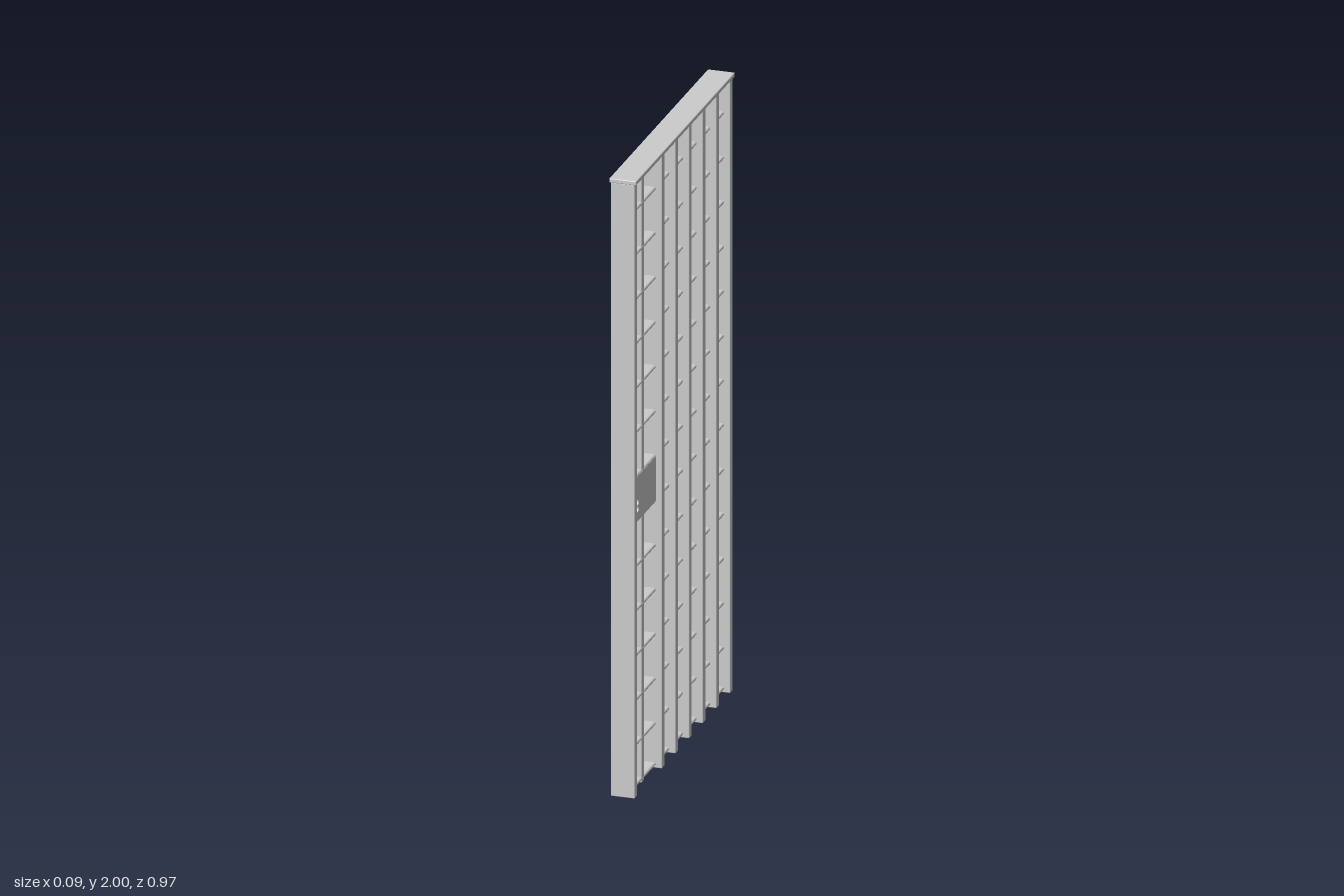
import * as THREE from 'three';
import { RoundedBoxGeometry } from 'three/addons/geometries/RoundedBoxGeometry.js';

const material = new THREE.MeshStandardMaterial({ color: 0xcccccc });

export function createModel() {
  const door = new THREE.Group();
  door.name = 'barredDoor';

  const add = (name, geometry, x, y, z) => {
    const mesh = new THREE.Mesh(geometry, material);
    mesh.name = name;
    mesh.position.set(x, y, z);
    door.add(mesh);
    return mesh;
  };
  const box = (name, w, h, d, x, y, z) =>
    add(name, new RoundedBoxGeometry(w, h, d, 2, 0.003), x, y, z);

  const firstZ = 0.473, spacing = 0.13, barWidth = 0.026, barDepth = 0.076;
  const topY = 1.988, lockBottom = 0.866, lockTop = 1.01;

  // Upright bars; the second is slimmer and interrupted by the lock
  for (let i = 0; i < 8; i++) {
    const z = firstZ - i * spacing;
    if (i === 1) {
      box('lowerLockBar', 0.034, lockBottom, barWidth, 0, lockBottom / 2, z);
      box('upperLockBar', 0.034, topY - lockTop, barWidth, 0, (topY + lockTop) / 2, z);
    } else {
      box(i === 0 || i === 7 ? 'sidePost' : 'uprightBar', barDepth, topY, barWidth, 0, topY / 2, z);
    }
  }

  // Cap across the top
  box('topCap', 0.086, 0.014, 0.942, 0, 1.993, 0.016);

  // Flat crossbars with rounded edges
  const r = 0.006, half = 0.018 - r;
  const profile = new THREE.Shape();
  profile.moveTo(-half, -r);
  profile.lineTo(half, -r);
  profile.absarc(half, 0, r, -Math.PI / 2, Math.PI / 2, false);
  profile.lineTo(-half, r);
  profile.absarc(-half, 0, r, Math.PI / 2, Math.PI * 1.5, false);
  const crossbar = new THREE.ExtrudeGeometry(profile, {
    depth: 7 * spacing, bevelEnabled: false, curveSegments: 6,
  });
  for (let i = 0; i < 14; i++) {
    const y = i === 0 ? 0.013 : i * 0.1443;
    add('crossbar', crossbar, 0, y, firstZ - 7 * spacing);
  }

  // Lock case with a keyhole through it
  const plate = new THREE.Shape();
  plate.moveTo(-0.463, lockBottom);
  plate.lineTo(-0.226, lockBottom);
  plate.lineTo(-0.226, lockTop);
  plate.lineTo(-0.463, lockTop);
  plate.closePath();
  for (const y of [0.926, 0.904]) {
    const hole = new THREE.Path();
    hole.absarc(-0.4, y, 0.01, 0, Math.PI * 2, true);
    plate.holes.push(hole);
  }
  const lock = add('lockCase', new THREE.ExtrudeGeometry(plate, {
    depth: 0.038, bevelEnabled: false, curveSegments: 16,
  }), -0.019, 0, 0);
  lock.rotation.y = Math.PI / 2;

  // Hinge barrels, each joined to the rear post by a short leaf
  for (const y of [0.556, 1.84]) {
    add('hingeBarrel', new THREE.CylinderGeometry(0.016, 0.016, 0.046, 24), -0.009, y, -0.471);
    box('hingeLeaf', 0.017, 0.046, 0.024, -0.009, y, -0.455);
  }
  return door;
}
